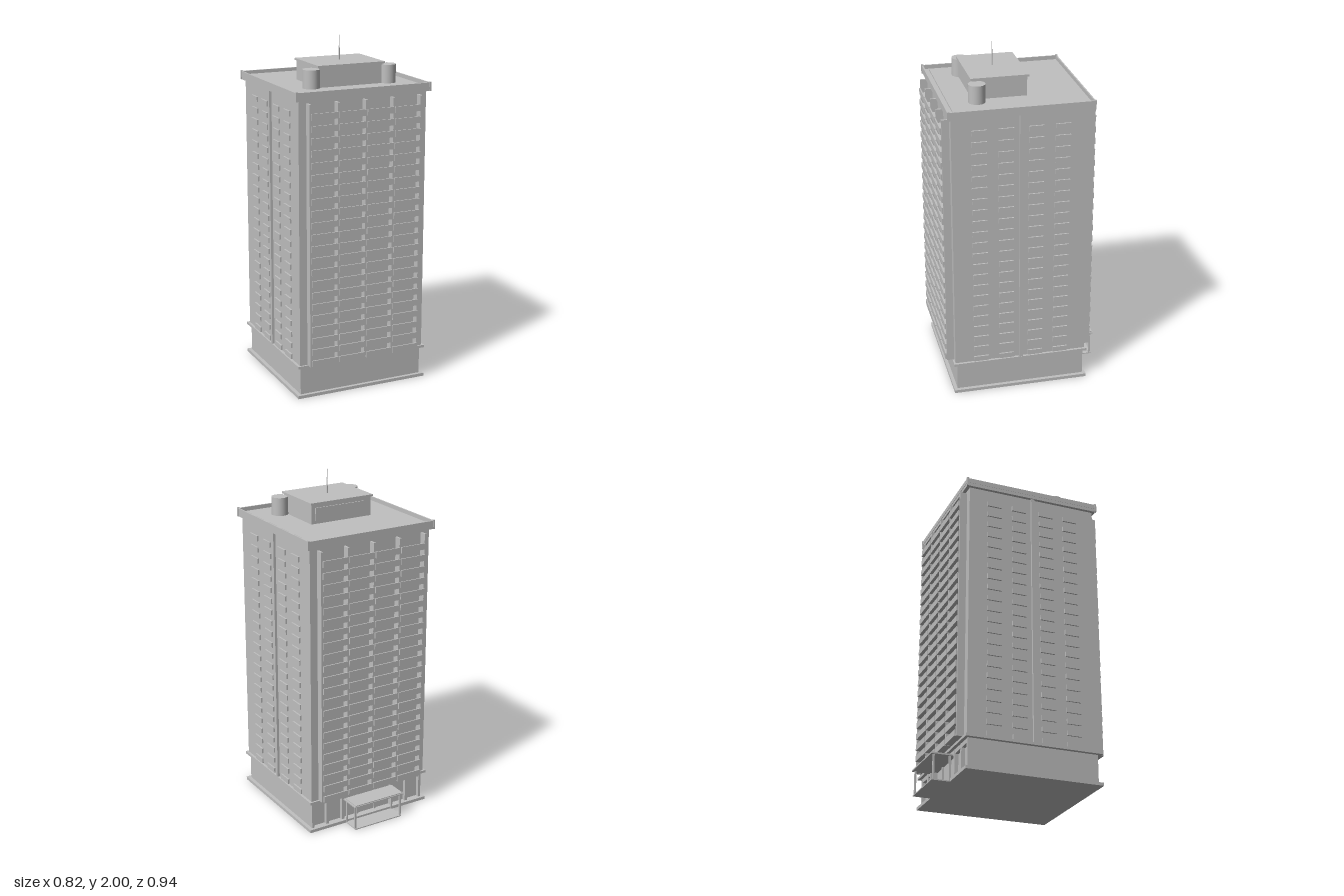
import * as THREE from 'three';

export function createModel() {
  const model = new THREE.Group();
  const concrete = new THREE.MeshStandardMaterial({ color: 0xc0c0c0 });
  concrete.name = 'concrete grey';

  // Box given by its x, y and z extents
  function box(name, x0, x1, y0, y1, z0, z1, parent = model) {
    const mesh = new THREE.Mesh(new THREE.BoxGeometry(x1 - x0, y1 - y0, z1 - z0), concrete);
    mesh.position.set((x0 + x1) / 2, (y0 + y1) / 2, (z0 + z1) / 2);
    mesh.name = name;
    parent.add(mesh);
    return mesh;
  }
  function cylinder(name, rTop, rBottom, y0, y1, x, z, sides) {
    const mesh = new THREE.Mesh(new THREE.CylinderGeometry(rTop, rBottom, y1 - y0, sides), concrete);
    mesh.position.set(x, (y0 + y1) / 2, z);
    mesh.name = name;
    model.add(mesh);
  }
  function group(name) {
    const g = new THREE.Group();
    g.name = name;
    model.add(g);
    return g;
  }

  const MID = 0.033; // z of the tower's centre
  const FLOORS = 22, PITCH = 0.067, FIRST = 0.197;

  // Ground floor
  box('plinth', -0.402, 0.402, 0, 0.018, -0.365, 0.431);
  box('podium', -0.38, 0.38, 0.018, 0.18, -0.325, 0.411);
  const entrance = group('entranceWall');
  for (const x of [-0.372, -0.275, -0.17, 0.17, 0.275, 0.372])
    box('entrancePillar', x - 0.008, x + 0.008, 0.018, 0.18, -0.347, -0.325, entrance);
  box('entranceLintel', -0.38, 0.38, 0.155, 0.18, -0.345, -0.325, entrance);
  for (const x of [-0.06, 0.06])
    box('doorFrame', x - 0.005, x + 0.005, 0.018, 0.155, -0.335, -0.325, entrance);
  box('podiumSlab', -0.402, 0.402, 0.18, 0.195, -0.365, 0.431);

  // Entrance canopy at the back
  const canopy = group('entranceCanopy');
  box('canopyRoof', -0.168, 0.168, 0.145, 0.152, -0.475, -0.35, canopy);
  box('canopyTop', -0.16, 0.16, 0.152, 0.157, -0.47, -0.355, canopy);
  box('entranceStep', -0.16, 0.16, 0, 0.006, -0.468, -0.36, canopy);
  for (const x of [-0.155, 0.155])
    for (const z of [-0.458, -0.366])
      box('canopyPost', x - 0.005, x + 0.005, 0.004, 0.147, z - 0.005, z + 0.005, canopy);

  // Tower
  box('tower', -0.387, 0.387, 0.195, 1.71, -0.355, 0.421);

  // Balcony facades, front and back
  for (const side of [1, -1]) {
    const facade = group(side > 0 ? 'frontBalconies' : 'backBalconies');
    facade.position.z = MID;
    if (side < 0) facade.rotation.y = Math.PI;
    for (let i = -2; i <= 2; i++) {
      const x = i * 0.168;
      box('balconyFin', x - 0.006, x + 0.006, 0.195, 1.69, 0.38, 0.43, facade);
    }
    for (let f = 0; f < FLOORS; f++) {
      const y = FIRST + f * PITCH;
      for (const x of [-0.252, -0.084, 0.084, 0.252]) {
        box('balconyFloor', x - 0.079, x + 0.079, y, y + 0.008, 0.38, 0.432, facade);
        box('balconyFront', x - 0.08, x + 0.08, y, y + 0.036, 0.43, 0.437, facade);
      }
    }
  }

  // Side facades: centre pilaster and columns of window panels
  for (const s of [1, -1]) {
    const facade = group(s > 0 ? 'leftFacade' : 'rightFacade');
    facade.position.z = MID;
    if (s < 0) facade.rotation.y = Math.PI;
    box('sidePilaster', 0.38, 0.401, 0.195, 1.71, -0.01, 0.01, facade);
    for (let f = 0; f < FLOORS; f++) {
      const y = FIRST + f * PITCH;
      for (const z of [-0.235, -0.085, 0.085, 0.235])
        box('windowPanel', 0.38, 0.396, y, y + 0.03, z - 0.043, z + 0.043, facade);
    }
  }

  // Roof with a low parapet
  box('roofSlab', -0.406, 0.406, 1.705, 1.73, -0.376, 0.437);
  box('roofDeck', -0.372, 0.372, 1.73, 1.738, -0.342, 0.402);
  const parapet = group('parapet');
  for (const s of [1, -1]) {
    box('parapetSide', s * 0.403 - 0.004, s * 0.403 + 0.004, 1.725, 1.753, -0.378, 0.44, parapet);
    const z = MID - 0.002 + s * 0.405;
    box('parapetEnd', -0.406, 0.406, 1.725, 1.753, z - 0.004, z + 0.004, parapet);
    for (const t of [1, -1]) {
      const x = t * 0.404;
      box('cornerPost', x - 0.006, x + 0.006, 1.705, 1.757, z - 0.006, z + 0.006, parapet);
    }
  }

  // Rooftop plant room, tanks and mast
  box('plantRoom', -0.195, 0.195, 1.73, 1.85, -0.046, 0.262);
  box('plantRoomPanel', -0.15, 0.17, 1.755, 1.83, -0.052, -0.046);
  box('plantRoomRoof', -0.204, 0.204, 1.85, 1.861, -0.056, 0.273);
  for (const s of [1, -1])
    cylinder('roofTank', 0.048, 0.048, 1.73, 1.842, s * 0.234, 0.245, 32);
  cylinder('mastBase', 0.003, 0.004, 1.86, 1.94, 0, 0.108, 10);
  cylinder('mast', 0.001, 0.0025, 1.94, 2.0, 0, 0.108, 10);

  return model;
}
